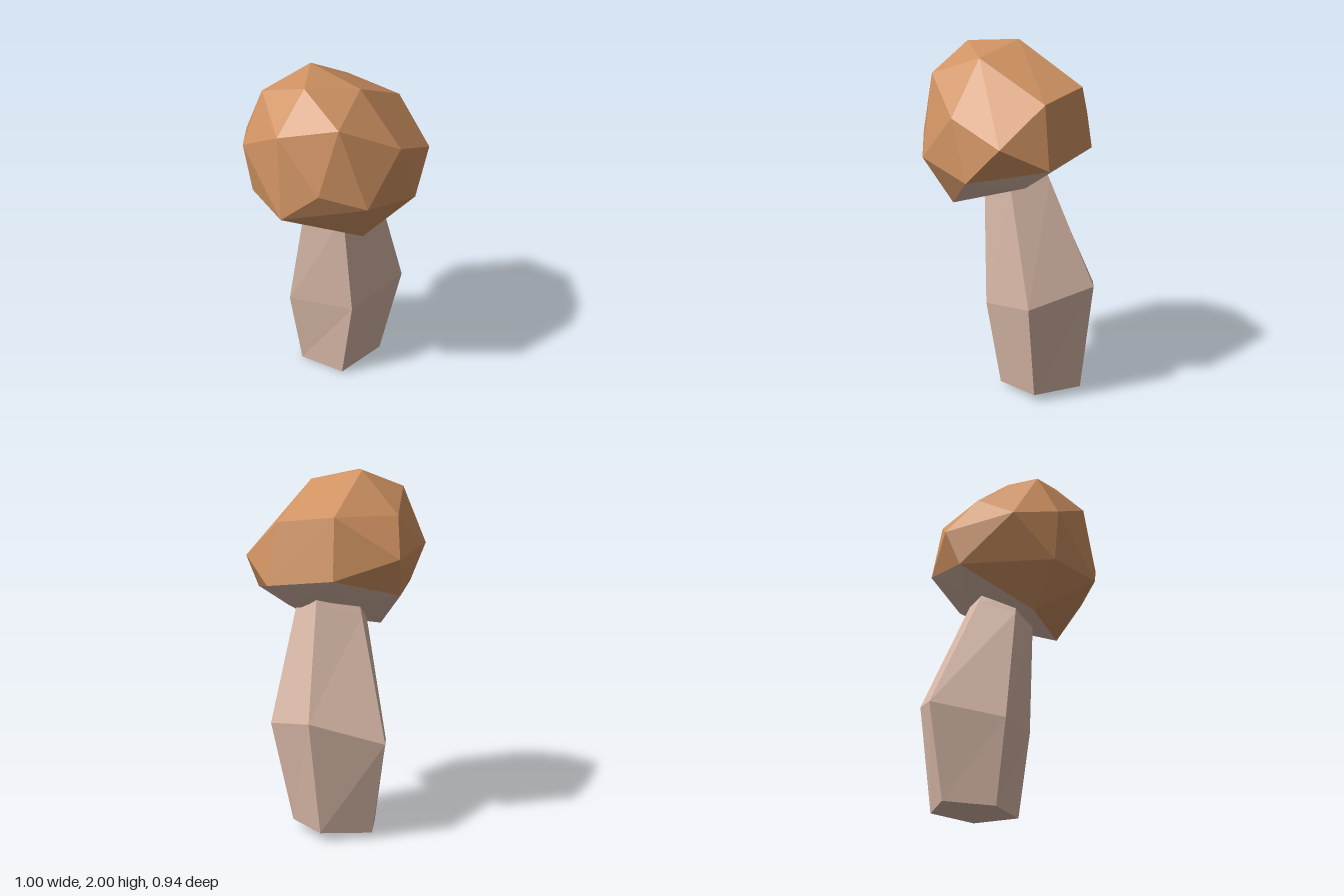
import * as THREE from 'three';
import { ConvexGeometry } from 'three/addons/geometries/ConvexGeometry.js';

const V = (p) => new THREE.Vector3(...p);

function geometryFrom(points) {
  const g = new THREE.BufferGeometry().setFromPoints(points);
  g.computeVertexNormals();
  return g;
}

// Faceted dome of the cap
const dome = [
  [-0.06, 2.0, -0.1], [-0.28, 1.985, 0.085], [-0.01, 1.94, 0.22], [-0.33, 1.9, -0.185],
  [-0.28, 1.835, 0.335], [0.33, 1.78, -0.215], [-0.04, 1.77, -0.36], [-0.468, 1.77, 0.08],
  [0.4, 1.74, 0.115], [0.05, 1.66, 0.46], [-0.47, 1.63, -0.19], [-0.29, 1.6, -0.37],
  [0.1, 1.555, -0.475], [0.355, 1.535, 0.388], [-0.4, 1.49, 0.31], [-0.2, 1.4, 0.47],
  [-0.43, 1.35, -0.17], [-0.5, 1.32, 0.13],
].map(V);

// Rim of the tilted underside, then its two lower inner points
const under = [
  [0.17, 1.33, 0.465], [0.465, 1.4, 0.14], [0.38, 1.45, -0.245], [0.03, 1.35, -0.43],
  [-0.24, 1.12, -0.1], [-0.1, 1.14, 0.34],
  [0.15, 1.31, -0.21], [0.28, 1.27, 0.145],
].map(V);

// Stem cross-sections, five corners each, counterclockwise from above
const stemRings = [
  [[0, 0.015, 0.087], [0.31, 0.045, 0.1], [0.4, 0.05, -0.17], [0.175, 0.03, -0.355], [-0.06, 0, -0.2]],
  [[-0.015, 0.53, 0.18], [0.375, 0.608, 0.203], [0.495, 0.69, -0.17], [0.195, 0.56, -0.457], [-0.135, 0.47, -0.22]],
  [[-0.06, 1.16, 0.15], [0.19, 1.24, 0.17], [0.27, 1.28, -0.04], [0.07, 1.22, -0.2], [-0.115, 1.14, -0.1]],
].map((ring) => ring.map(V));

function stemGeometry() {
  const rings = stemRings.slice();
  // Carry the stem on a little way into the cap
  rings.push(rings[2].map((p, i) => rings[1][i].clone().lerp(p, 1.15)));
  const out = [];
  for (let r = 0; r < rings.length - 1; r++) {
    for (let i = 0; i < 5; i++) {
      const j = (i + 1) % 5;
      const [a, b, c, d] = [rings[r][i], rings[r][j], rings[r + 1][j], rings[r + 1][i]];
      out.push(a, b, c, a, c, d);
    }
  }
  // Closed ends
  const base = rings[0], top = rings[rings.length - 1];
  for (let i = 1; i < 4; i++) {
    out.push(base[0], base[i + 1], base[i]);
    out.push(top[0], top[i], top[i + 1]);
  }
  return geometryFrom(out);
}

// Hull of the cap, split into the dome skin and the pale underside
function capGeometries() {
  const pos = new ConvexGeometry([...dome, ...under]).getAttribute('position');
  const skin = [], gills = [];
  const isUnder = (p) => under.some((u) => u.distanceTo(p) < 1e-4);
  for (let i = 0; i < pos.count; i += 3) {
    const tri = [0, 1, 2].map((k) => new THREE.Vector3().fromBufferAttribute(pos, i + k));
    (tri.every(isUnder) ? gills : skin).push(...tri);
  }
  return [geometryFrom(skin), geometryFrom(gills)];
}

export function createModel() {
  const capBrown = new THREE.MeshStandardMaterial({ color: 0xcf9262, flatShading: true });
  capBrown.name = 'capBrown';
  const paleFlesh = new THREE.MeshStandardMaterial({ color: 0xdabaa9, flatShading: true });
  paleFlesh.name = 'paleFlesh';

  const group = new THREE.Group();
  group.name = 'mushroom';
  const add = (name, geometry, material) => {
    const mesh = new THREE.Mesh(geometry, material);
    mesh.name = name;
    group.add(mesh);
  };

  const [skin, gills] = capGeometries();
  add('cap', skin, capBrown);
  add('capUnderside', gills, paleFlesh);
  add('stem', stemGeometry(), paleFlesh);
  return group;
}
